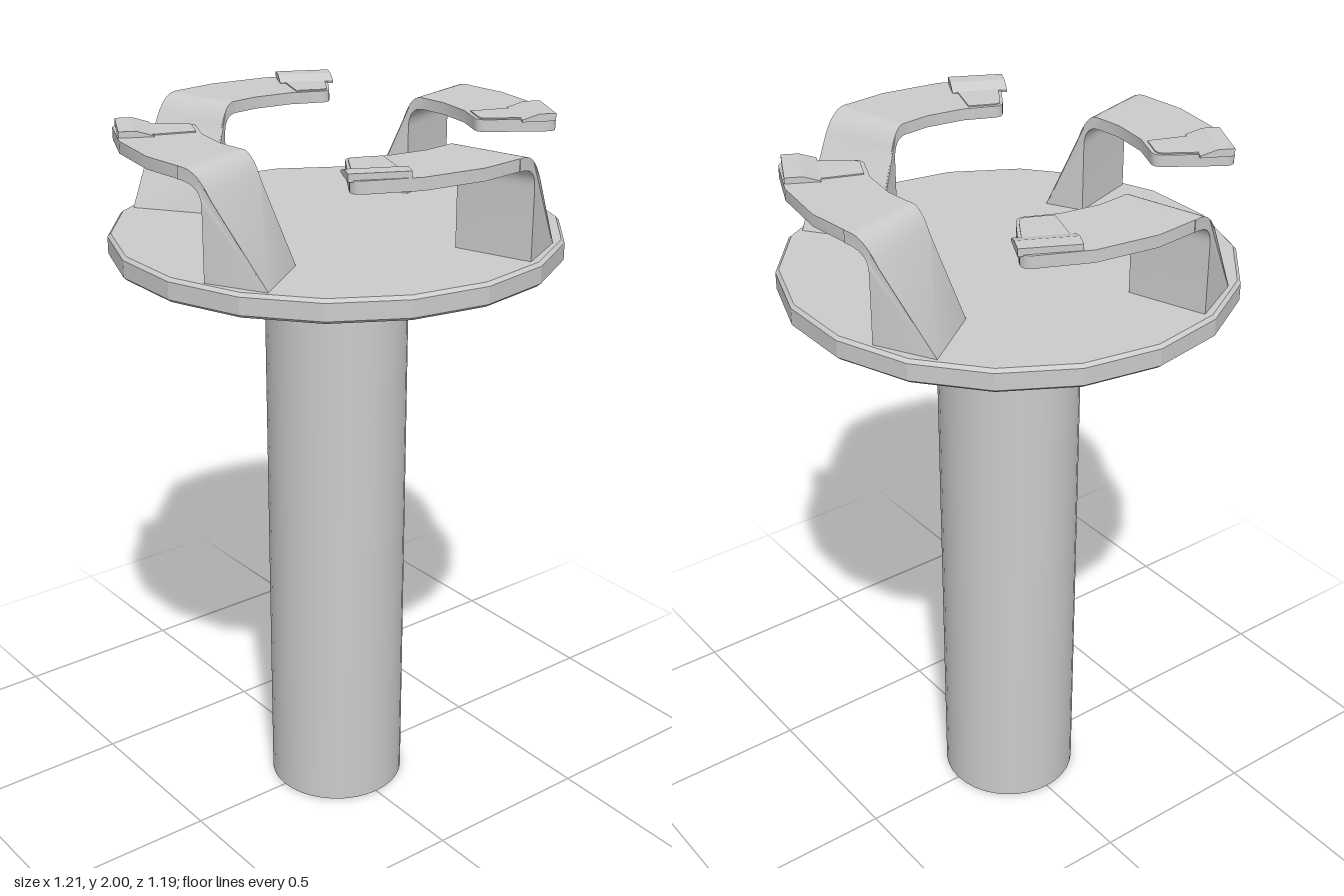
import * as THREE from 'three';
import { toCreasedNormals } from 'three/addons/utils/BufferGeometryUtils.js';

const R_IN = 0.363, R_OUT = 0.58;
const rad = THREE.MathUtils.degToRad;
const material = new THREE.MeshStandardMaterial({ color: 0xcccccc });

function addMesh(parent, name, geometry, crease = 0.3) {
  const mesh = new THREE.Mesh(toCreasedNormals(geometry, crease), material);
  mesh.name = name;
  parent.add(mesh);
  return mesh;
}

// Plan point at radius r, angle measured from +z towards +x
const plan = (r, deg) => new THREE.Vector2(r * Math.sin(rad(deg)), -r * Math.cos(rad(deg)));

// Flat slab standing on y, from an outline drawn in plan
function slab(shape, y, height, bevel = 0) {
  const g = new THREE.ExtrudeGeometry(shape, {
    depth: height - bevel, curveSegments: 5, bevelEnabled: bevel > 0,
    bevelThickness: bevel, bevelSize: bevel, bevelOffset: -bevel, bevelSegments: 1,
  });
  return g.rotateX(-Math.PI / 2).translate(0, y, 0);
}

// Ring sector whose end (at angle "to") has rounded corners
function sector(rIn, rOut, from, to, steps, round) {
  const shape = new THREE.Shape();
  const line = (p) => shape.lineTo(p.x, p.y);
  const curve = (c, p) => shape.quadraticCurveTo(c.x, c.y, p.x, p.y);
  const start = plan(rIn, from);
  shape.moveTo(start.x, start.y);
  line(plan(rOut, from));
  steps.forEach((a) => line(plan(rOut, a)));
  line(plan(rOut, to + THREE.MathUtils.radToDeg(round / rOut)));
  curve(plan(rOut, to), plan(rOut - round, to));
  line(plan(rIn + round, to));
  curve(plan(rIn, to), plan(rIn, to + THREE.MathUtils.radToDeg(round / rIn)));
  [...steps].reverse().forEach((a) => line(plan(rIn, a)));
  shape.closePath();
  return shape;
}

// Wedge leg: profile of angle against height, swept from inner to outer radius
function legGeometry() {
  const s = new THREE.Shape();
  s.moveTo(rad(36.5), 1.7);
  s.lineTo(rad(36.3), 1.71);
  s.lineTo(rad(22), 1.915);
  s.quadraticCurveTo(rad(18.2), 1.984, rad(13.5), 1.984);
  s.lineTo(rad(12), 1.984);
  s.lineTo(rad(12), 1.952);
  s.quadraticCurveTo(rad(19.2), 1.952, rad(19.2), 1.895);
  s.lineTo(rad(19.2), 1.7);
  s.closePath();
  const g = new THREE.ExtrudeGeometry(s, { depth: 1, bevelEnabled: false, curveSegments: 8 });
  const p = g.attributes.position;
  for (let i = 0; i < p.count; i++) {
    const a = p.getX(i), r = THREE.MathUtils.lerp(R_IN, R_OUT, p.getZ(i));
    p.setXYZ(i, r * Math.sin(a), p.getY(i), r * Math.cos(a));
  }
  return g;
}

// Small raised block, flat on its outer half and sloping down inwards
function blockGeometry() {
  const s = new THREE.Shape();
  s.moveTo(-0.045, 0);
  s.lineTo(0.045, 0);
  s.lineTo(0.045, 0.02);
  s.lineTo(0, 0.02);
  s.lineTo(-0.045, 0.006);
  s.closePath();
  const g = new THREE.ExtrudeGeometry(s, { depth: 0.152, bevelEnabled: false });
  return g.translate(0, 0, -0.076).rotateY(-Math.PI / 2);
}

function createArm() {
  const arm = new THREE.Group();
  addMesh(arm, 'leg', legGeometry(), 0.5);
  addMesh(arm, 'hook', slab(sector(R_IN, R_OUT - 0.002, 12, -34.5, [0, -17], 0.03), 1.952, 0.032), 0.5);
  addMesh(arm, 'tipPad', slab(sector(R_IN + 0.01, R_OUT - 0.012, -20, -33.5, [], 0.025), 1.98, 0.007), 0.5);
  const block = addMesh(arm, 'tipBlock', blockGeometry());
  const a = rad(-27.3);
  block.position.set(0.523 * Math.sin(a), 1.98, 0.523 * Math.cos(a));
  block.rotation.y = a;
  return arm;
}

export function createModel() {
  const model = new THREE.Group();
  model.name = 'postWithHookedPlate';

  // Round post
  const post = new THREE.CylinderGeometry(0.195, 0.195, 1.65, 36).translate(0, 0.825, 0);
  addMesh(model, 'post', post, 0.5);

  // Eighteen-sided plate with chamfered rims
  const profile = [[0, 1.645], [0.597, 1.645], [0.606, 1.653], [0.606, 1.699], [0.597, 1.708], [0, 1.708]]
    .map(([x, y]) => new THREE.Vector2(x, y));
  addMesh(model, 'plate', new THREE.LatheGeometry(profile, 18).rotateY(Math.PI / 2));

  // Four hooked arms around the plate
  for (let i = 0; i < 4; i++) {
    const arm = createArm();
    arm.name = `arm${i + 1}`;
    arm.rotation.y = i * Math.PI / 2;
    model.add(arm);
  }
  return model;
}
